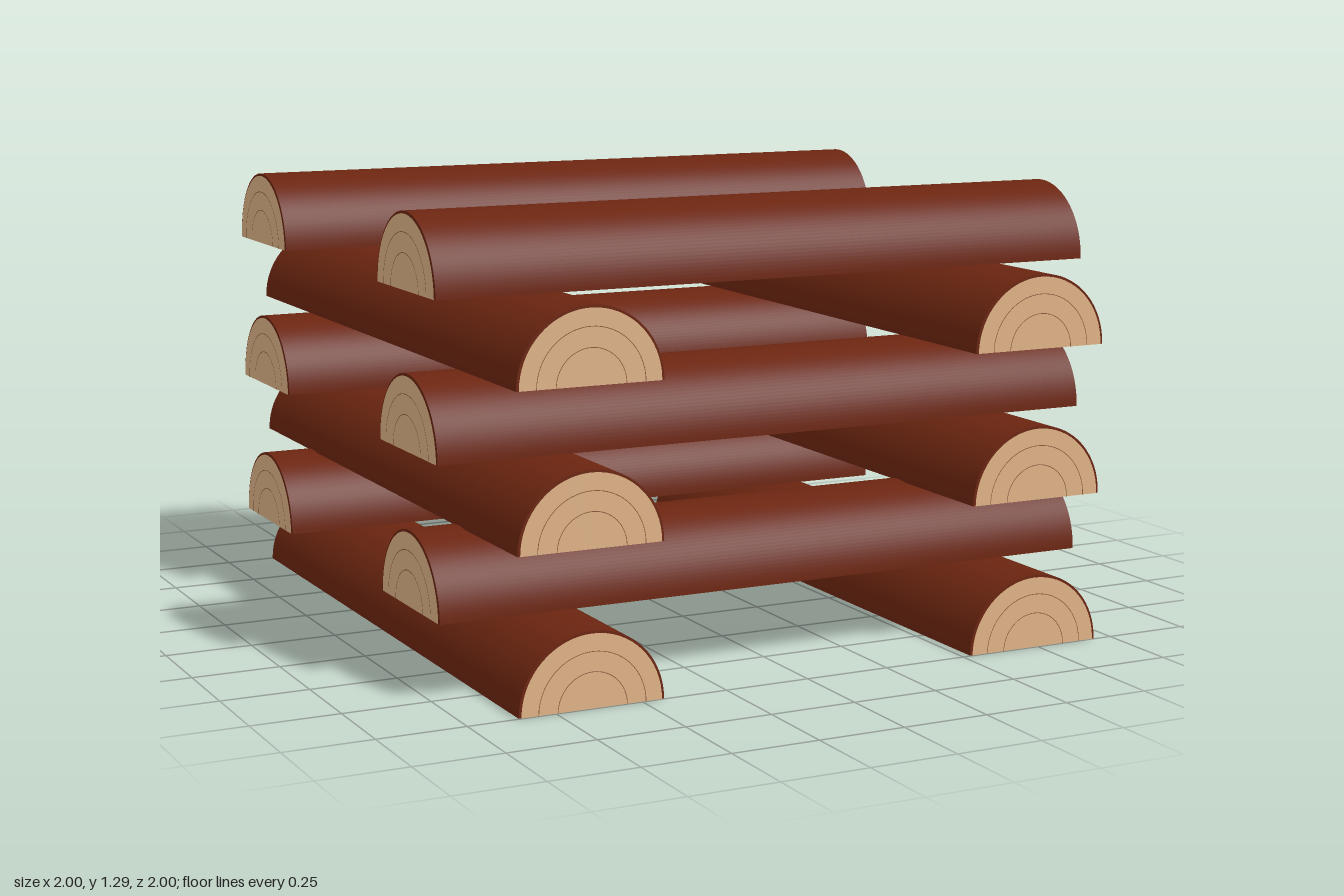
import * as THREE from 'three';
import { toCreasedNormals } from 'three/addons/utils/BufferGeometryUtils.js';

const R = 0.21, LENGTH = 2, GAP = 0.002;

const bark = new THREE.MeshStandardMaterial({ color: 0x6b2510 });
const wood = new THREE.MeshStandardMaterial({ color: 0xdeb287 });
const ringMat = new THREE.MeshStandardMaterial({ color: 0x8a5a3a });

// Half-round bark body, flat side down, running along z
function barkGeometry() {
  const shape = new THREE.Shape();
  shape.absarc(0, 0, R, 0, Math.PI, false);
  shape.closePath();
  const depth = LENGTH - 4 * GAP;
  const geo = new THREE.ExtrudeGeometry(shape, { depth, bevelEnabled: false, curveSegments: 32 });
  geo.translate(0, 0, -depth / 2);
  return toCreasedNormals(geo, 0.6);
}

const barkGeo = barkGeometry();
const faceGeo = new THREE.CircleGeometry(R - 0.007, 32, 0, Math.PI);
const ringGeos = [0.1, 0.155].map(r => new THREE.RingGeometry(r - 0.001, r + 0.001, 32, 1, 0, Math.PI));

function add(parent, name, geo, mat, z = 0) {
  const mesh = new THREE.Mesh(geo, mat);
  mesh.name = name;
  mesh.position.z = z;
  parent.add(mesh);
}

// One split log with cut faces and growth rings at both ends
function makeLog(name) {
  const log = new THREE.Group();
  log.name = name;
  add(log, 'bark', barkGeo, bark);
  for (const turn of [0, Math.PI]) {
    const end = new THREE.Group();
    end.name = 'cutEnd';
    end.rotation.y = turn;
    add(end, 'cutFace', faceGeo, wood, LENGTH / 2 - GAP);
    ringGeos.forEach(g => add(end, 'growthRing', g, ringMat, LENGTH / 2));
    log.add(end);
  }
  return log;
}

export function createModel() {
  const group = new THREE.Group();
  group.name = 'logStack';

  // Layers alternate: even ones run front to back, odd ones side to side
  const heights = [0, 0.222, 0.428, 0.645, 0.857, 1.076];
  heights.forEach((y, layer) => {
    const across = layer % 2 === 1;
    for (const offset of across ? [-0.58, 0.6] : [-0.645, 0.735]) {
      const log = makeLog(across ? 'crossLog' : 'lengthLog');
      if (across) log.rotation.y = Math.PI / 2;
      log.position.set(across ? 0 : offset, y, across ? offset : 0);
      group.add(log);
    }
  });
  return group;
}
